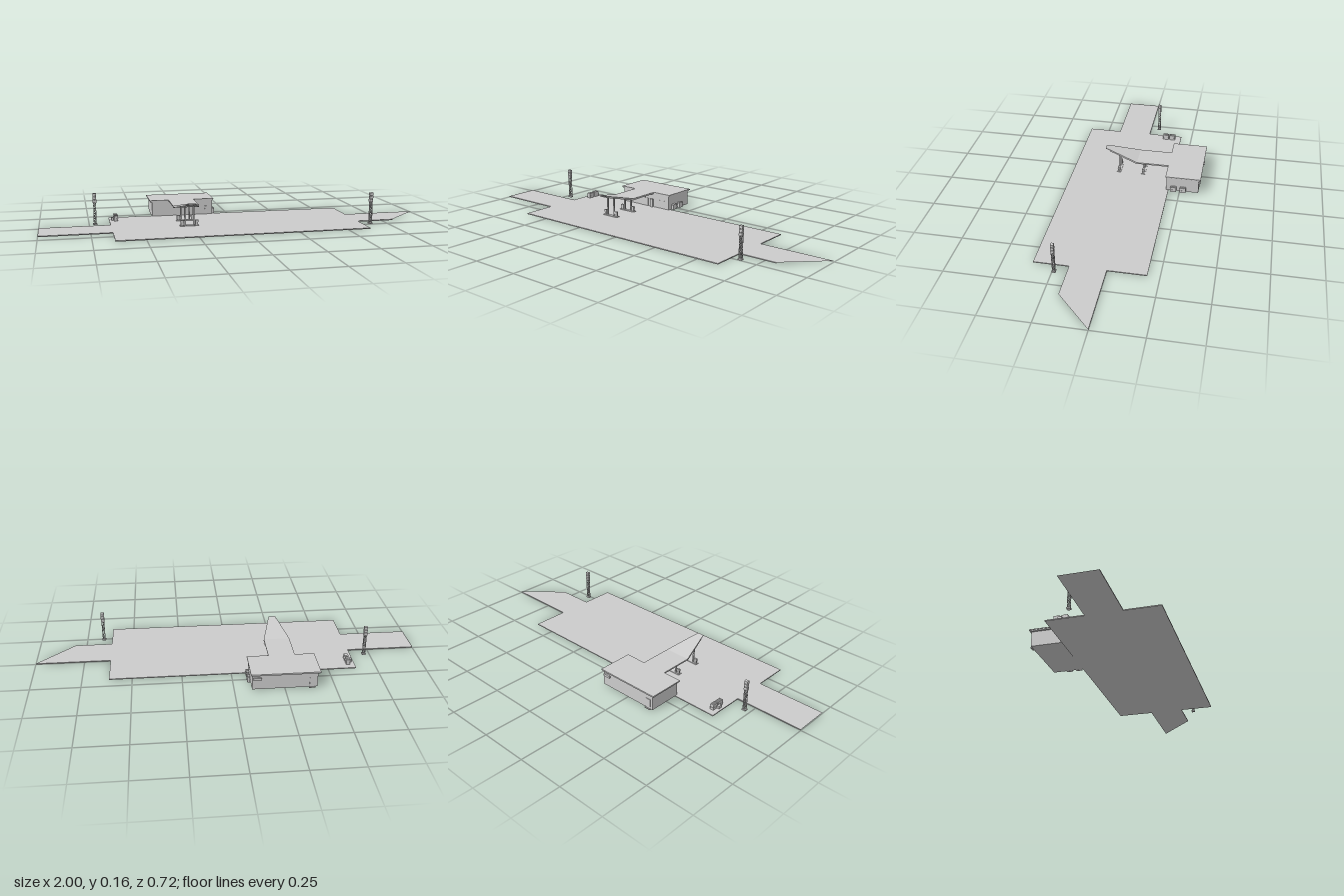
import * as THREE from 'three';

const mat = new THREE.MeshStandardMaterial({ color: 0xcccccc, flatShading: true });

function add(parent, name, geometry, x = 0, y = 0, z = 0) {
  const m = new THREE.Mesh(geometry, mat);
  m.name = name;
  m.position.set(x, y, z);
  parent.add(m);
  return m;
}

// Box given by its centre in x and z and by its bottom and top heights
const block = (parent, name, x, z, w, d, y0, y1) =>
  add(parent, name, new THREE.BoxGeometry(w, y1 - y0, d), x, (y0 + y1) / 2, z);

function group(parent, name, x = 0, y = 0, z = 0) {
  const g = new THREE.Group();
  g.name = name;
  g.position.set(x, y, z);
  parent.add(g);
  return g;
}

// Plan outlines are [x, z], running counterclockwise seen from above
const planShape = pts => new THREE.Shape(pts.map(([x, z]) => new THREE.Vector2(x, -z)));

function extrudePlan(pts, height) {
  return new THREE.ExtrudeGeometry(planShape(pts), { depth: height, bevelEnabled: false }).rotateX(-Math.PI / 2);
}

// Thin straight bar between two points
function bar(parent, name, a, b, t) {
  const va = new THREE.Vector3(...a), vb = new THREE.Vector3(...b);
  const m = add(parent, name, new THREE.BoxGeometry(t, t, va.distanceTo(vb)));
  m.position.addVectors(va, vb).multiplyScalar(0.5);
  m.quaternion.setFromUnitVectors(new THREE.Vector3(0, 0, 1), vb.sub(va).normalize());
}

// Box lofted between two ends in z: each end is { z, y0, y1, w }
function taperedBox(back, front) {
  const g = new THREE.BoxGeometry(1, 1, 1), p = g.attributes.position;
  for (let i = 0; i < p.count; i++) {
    const e = p.getZ(i) > 0 ? front : back;
    p.setXYZ(i, p.getX(i) * e.w, p.getY(i) > 0 ? e.y1 : e.y0, e.z);
  }
  g.computeVertexNormals();
  return g;
}

// Paved forecourt; the road ends stay open
function forecourt(root) {
  const h = 0.005, g = group(root, 'forecourt');
  const outline = [
    [-1, 0.18], [-0.645, 0.18], [-0.645, 0.355], [0.615, 0.355], [0.615, 0.18], [0.81, 0.18],
    [1, 0], [0.615, 0], [0.615, -0.19], [-0.645, -0.19], [-0.645, 0], [-1, 0],
  ];
  const shape = planShape(outline);
  add(g, 'paving', new THREE.ShapeGeometry(shape).rotateX(-Math.PI / 2), 0, h, 0);
  const under = new THREE.ShapeGeometry(shape).rotateX(-Math.PI / 2);
  under.index.array.reverse();
  under.computeVertexNormals();
  add(g, 'pavingUnderside', under);
  outline.forEach(([x, z], i) => {
    if (i === 5 || i === 11) return;
    const [x2, z2] = outline[(i + 1) % outline.length];
    const edge = add(g, 'kerb', new THREE.PlaneGeometry(Math.hypot(x2 - x, z2 - z), h), (x + x2) / 2, h / 2, (z + z2) / 2);
    edge.rotation.y = Math.atan2(z - z2, x2 - x);
  });
}

// Shop with its roof, openings and wall units
function shop(root) {
  const g = group(root, 'shop');
  block(g, 'walls', -0.25, -0.264, 0.325, 0.172, 0.003, 0.082);
  const outline = (i) => [
    [-0.425 + i, -0.36 + i], [-0.08 - i, -0.36 + i], [-0.08 - i, -0.173 - i], [-0.19 - i, -0.173 - i],
    [-0.19 - i, 0], [-0.325 + i, 0], [-0.325 + i, -0.173 - i], [-0.425 + i, -0.173 - i],
  ].reverse();
  add(g, 'roof', extrudePlan(outline(0), 0.005), 0, 0.085, 0);
  add(g, 'roofFascia', extrudePlan(outline(0.003), 0.005), 0, 0.08, 0);
  // Front openings
  for (const x of [-0.145, -0.12]) block(g, 'frontWindow', x, -0.177, 0.014, 0.003, 0.032, 0.05);
  for (const x of [-0.268, -0.244]) block(g, 'frontDoor', x, -0.177, 0.022, 0.003, 0.005, 0.05);
  block(g, 'vendingMachine', -0.205, -0.173, 0.018, 0.01, 0.005, 0.05);
  // Back door with its step and the cooling unit
  block(g, 'backDoor', -0.385, -0.351, 0.026, 0.003, 0.005, 0.055);
  block(g, 'backStep', -0.385, -0.353, 0.032, 0.008, 0, 0.005);
  block(g, 'coolingUnit', -0.113, -0.353, 0.04, 0.01, 0.056, 0.068);
}

// Upswept canopy with its thin open-edged tip
function canopy(root) {
  const g = group(root, 'canopy', -0.2575);
  add(g, 'canopyRoof', taperedBox({ z: 0, y0: 0.08, y1: 0.09, w: 0.135 }, { z: 0.158, y0: 0.119, y1: 0.128, w: 0.048 }));
  add(g, 'canopyTip', taperedBox({ z: 0.155, y0: 0.122, y1: 0.125, w: 0.046 }, { z: 0.182, y0: 0.129, y1: 0.132, w: 0.036 }));
}

// Fuel island: plinth, two canopy posts and two pumps
function island(root, z, postTop) {
  const g = group(root, 'fuelIsland', -0.2575, 0, z);
  block(g, 'plinth', 0, 0, 0.096, 0.021, 0, 0.008);
  for (const s of [-1, 1]) {
    block(g, 'canopyPost', s * 0.022, 0, 0.007, 0.007, 0.006, postTop);
    block(g, 'pumpBody', s * 0.037, 0, 0.014, 0.008, 0.008, 0.034);
    block(g, 'pumpHead', s * 0.037, 0, 0.016, 0.011, 0.022, 0.034);
  }
}

// Lattice mast carrying three sign boxes
function mast(root, x, z) {
  const g = group(root, 'signMast', x, 0, z);
  const r = 0.006, step = 0.013;
  block(g, 'mastBase', 0, 0, 0.02, 0.018, 0, 0.007);
  for (const sx of [-r, r]) for (const sz of [-r, r]) block(g, 'mastLeg', sx, sz, 0.002, 0.002, 0.005, 0.163);
  for (let i = 0; i < 8; i++) {
    const y = 0.007 + i * step, f = i % 2 ? 1 : -1;
    for (const s of [-r, r]) {
      bar(g, 'mastBrace', [s, y, -r * f], [s, y + step, r * f], 0.0014);
      bar(g, 'mastBrace', [-r * f, y, s], [r * f, y + step, s], 0.0014);
      bar(g, 'mastRung', [s, y + step, -r], [s, y + step, r], 0.0014);
      bar(g, 'mastRung', [-r, y + step, s], [r, y + step, s], 0.0014);
    }
  }
  for (let i = 0; i < 3; i++) block(g, 'signBox', 0, 0, 0.018, 0.015, 0.115 + i * 0.017, 0.129 + i * 0.017);
}

// Rack with a row of round goods along its top, running in z
function rack(root, x, z, depth) {
  const g = group(root, 'goodsRack', x, 0, z);
  block(g, 'rackBody', 0, 0, depth, 0.032, 0.004, 0.029);
  block(g, 'rackShelf', 0, 0, depth + 0.002, 0.033, 0.016, 0.018);
  for (let i = 0; i < 5; i++) {
    add(g, 'roundGoods', new THREE.CylinderGeometry(0.0035, 0.0035, depth, 8).rotateZ(Math.PI / 2), 0, 0.03, (i - 2) * 0.0063);
  }
}

export function createModel() {
  const root = new THREE.Group();
  root.name = 'fuelStation';
  forecourt(root);
  shop(root);
  canopy(root);
  island(root, 0.103, 0.108);
  island(root, -0.032, 0.081);
  mast(root, -0.72, -0.047);
  mast(root, 0.66, 0.241);
  for (const z of [-0.217, -0.268]) rack(root, -0.078, z, 0.014);
  for (const z of [-0.103, -0.141]) rack(root, -0.611, z, 0.02);
  block(root, 'airPump', -0.628, -0.122, 0.012, 0.018, 0.004, 0.02);
  return root;
}
